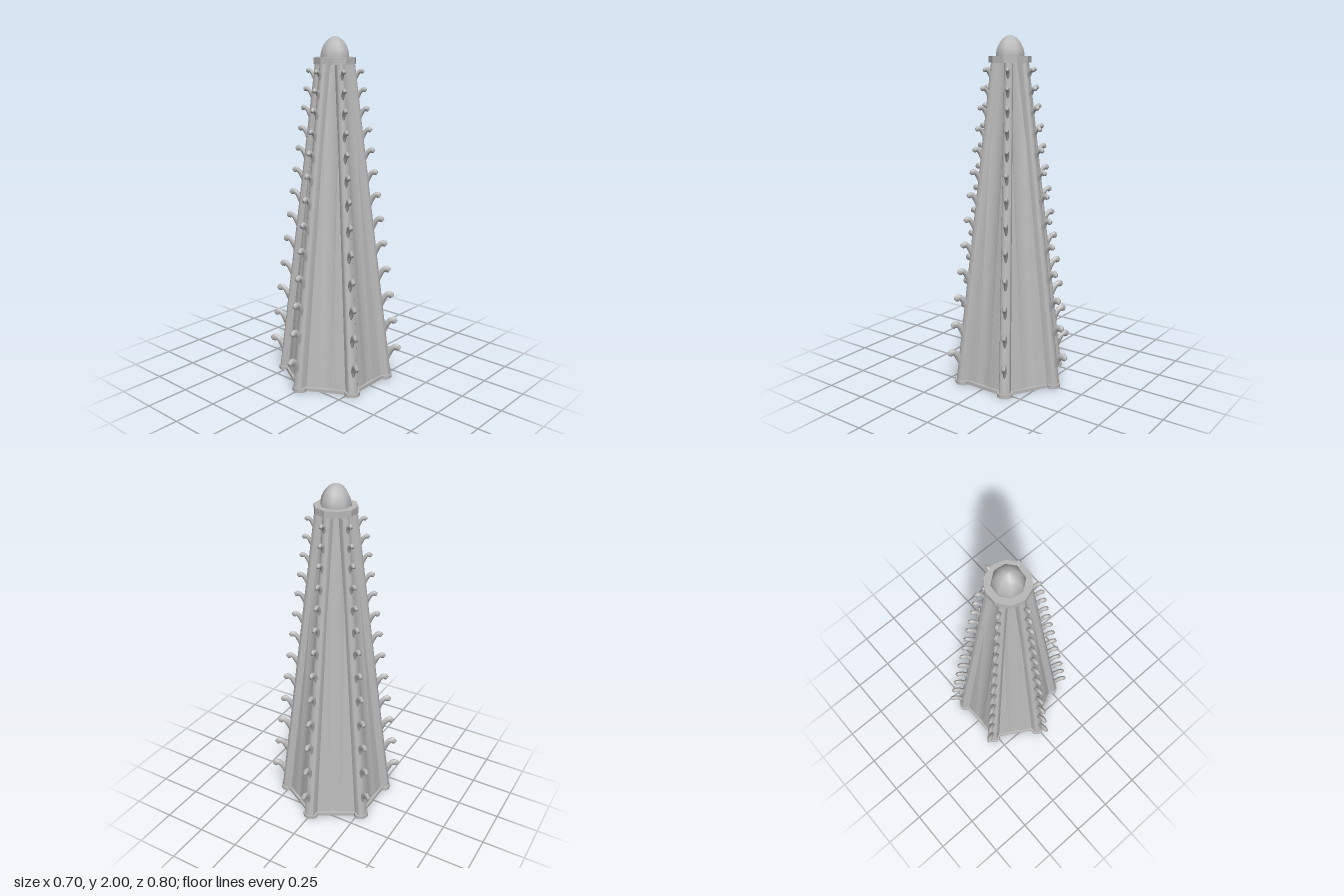
import * as THREE from 'three';
import { mergeGeometries, toCreasedNormals } from 'three/addons/utils/BufferGeometryUtils.js';

const V = (x, y, z) => new THREE.Vector3(x, y, z);
const lerp = THREE.MathUtils.lerp;
const BASE_Y = 0.02, TOP_Y = 1.86;

// Surface skinned over rows of points
function loft(rows, crease = 0.5) {
  const n = rows[0].length, index = [];
  for (let i = 0; i < rows.length - 1; i++) {
    for (let j = 0; j < n - 1; j++) {
      const a = i * n + j, b = a + 1, c = b + n, d = a + n;
      index.push(a, b, c, a, c, d);
    }
  }
  const g = new THREE.BufferGeometry().setFromPoints(rows.flat());
  g.setIndex(index);
  return toCreasedNormals(g, crease);
}

// Wall panel facing +z: two flat margins and a shallow hollow in the middle
function panelGeometry() {
  const row = (y, apothem, depth) => {
    const half = apothem * Math.tan(Math.PI / 6), flute = 0.045;
    const pts = [V(-half, y, apothem)];
    for (let k = 0; k <= 8; k++) {
      const s = k / 4 - 1;
      pts.push(V(s * flute, y, apothem - depth * (1 - s * s)));
    }
    pts.push(V(half, y, apothem));
    return pts;
  };
  return loft([row(BASE_Y, 0.263, 0.005), row(TOP_Y, 0.08, 0.014)], 0.25);
}

// Outer radius of a corner rib at a given height
const ribRadius = (y) => lerp(0.342, 0.112, (y - BASE_Y) / (TOP_Y - BASE_Y));

// Rounded rib along a corner, facing +z
function ribGeometry() {
  const row = (y, w, back) => {
    const out = ribRadius(y), pts = [V(-w, y, out - back)];
    for (let k = 0; k <= 6; k++) {
      const a = Math.PI * (1 - k / 6);
      pts.push(V(w * Math.cos(a), y, out - 0.02 + 0.02 * Math.sin(a)));
    }
    pts.push(V(w, y, out - back));
    return pts;
  };
  return loft([row(BASE_Y, 0.032, 0.07), row(TOP_Y, 0.023, 0.06)], 0.6);
}

// Hooked leaf ornament; path points are [outward, up, half thickness, half width]
const HOOK = [
  [-0.012, -0.085, 0.022, 0.009], [0.004, -0.052, 0.021, 0.012],
  [0.022, -0.022, 0.018, 0.014], [0.040, -0.004, 0.018, 0.015],
  [0.054, -0.002, 0.023, 0.015], [0.066, -0.010, 0.021, 0.013],
  [0.074, -0.016, 0.012, 0.009], [0.075, -0.017, 0.0005, 0.0005],
];
function hookGeometry(y, size) {
  const rows = HOOK.map(([r, h, t, w], i) => {
    const p = HOOK[Math.max(i - 1, 0)], q = HOOK[Math.min(i + 1, HOOK.length - 1)];
    const len = Math.hypot(q[0] - p[0], q[1] - p[1]);
    const tz = (q[0] - p[0]) / len, ty = (q[1] - p[1]) / len;
    const ring = [];
    for (let k = 0; k <= 8; k++) {
      const a = (k / 8) * Math.PI * 2, s = t * Math.sin(a);
      ring.push(V(w * Math.cos(a) * lerp(1, size, 0.6), y + size * (h + tz * s),
        ribRadius(y) + size * (r - ty * s)));
    }
    return ring;
  });
  return loft(rows, 0.9);
}

export function createModel() {
  const stone = new THREE.MeshStandardMaterial({ color: 0xb9b9b9 });
  stone.name = 'stone';
  const model = new THREE.Group();
  model.name = 'spire';
  const add = (name, geometry, parent = model) => {
    const mesh = new THREE.Mesh(geometry, stone);
    mesh.name = name;
    parent.add(mesh);
    return mesh;
  };

  // Hexagonal foot plate
  add('basePlate', toCreasedNormals(new THREE.CylinderGeometry(0.3175, 0.3175, BASE_Y, 6), 0.5))
    .position.y = BASE_Y / 2;

  // Six panels, ribs and rows of hooks
  const heights = [0.2, 0.37, 0.53, 0.685, 0.84, 0.985, 1.125, 1.255, 1.38, 1.495, 1.61, 1.715, 1.815];
  const panel = panelGeometry(), rib = ribGeometry();
  const hooks = mergeGeometries(heights.map((y, i) => hookGeometry(y, lerp(1, 0.58, i / 12))));
  const lobe = toCreasedNormals(new THREE.CylinderGeometry(0.045, 0.045, BASE_Y + 0.002, 16), 0.5);
  lobe.scale(1, 1, 0.85);
  lobe.translate(0, BASE_Y / 2 + 0.001, 0.311);
  for (let k = 0; k < 6; k++) {
    const side = new THREE.Group();
    side.name = 'side' + (k + 1);
    side.rotation.y = (k * Math.PI) / 3;
    add('wallPanel', panel, side).rotation.y = Math.PI / 6;
    add('cornerRib', rib, side);
    add('ribFoot', lobe, side);
    add('hookRow', hooks, side);
    model.add(side);
  }

  // Collar and domed finial
  add('collar', toCreasedNormals(new THREE.CylinderGeometry(0.119, 0.119, 0.036, 10), 0.5))
    .position.y = 1.868;
  const dome = [[0.08, 1.88], [0.08, 1.9], [0.073, 1.93], [0.058, 1.96], [0.038, 1.983], [0.018, 1.995], [0, 2]];
  const finial = add('finial', new THREE.LatheGeometry(dome.map(([r, y]) => new THREE.Vector2(r, y)), 8));
  finial.rotation.y = 0.28;
  finial.scale.set(1.05, 1, 1.05);
  return model;
}
